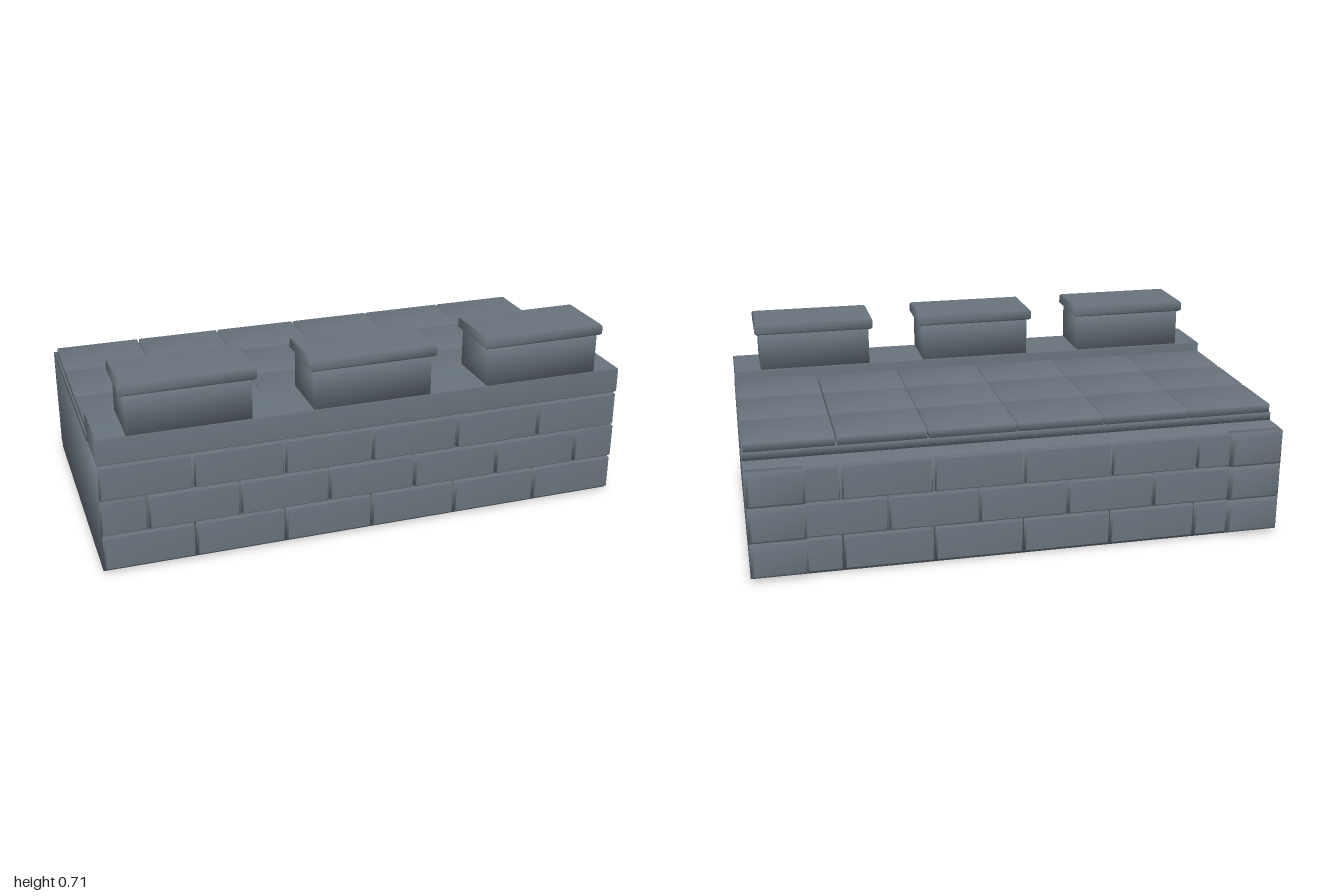
import * as THREE from 'three';
import { mergeVertices } from 'three/addons/utils/BufferGeometryUtils.js';

const stone = new THREE.MeshStandardMaterial({ color: 0x69737d });
stone.name = 'slate stone';

// Box between two corners with shared smooth normals; both ends along `axis` are bevelled by b
function block(parent, name, [x0, x1], [y0, y1], [z0, z1], axis = 'z', b = 0) {
  const size = { x: x1 - x0, y: y1 - y0, z: z1 - z0 };
  const seg = (a) => (b > 0 && a === axis ? 3 : 1);
  let geo = new THREE.BoxGeometry(size.x, size.y, size.z, seg('x'), seg('y'), seg('z'));
  geo.deleteAttribute('normal');
  geo.deleteAttribute('uv');
  geo = mergeVertices(geo);
  if (b > 0) {
    const p = geo.attributes.position;
    const v = new THREE.Vector3();
    for (let i = 0; i < p.count; i++) {
      v.fromBufferAttribute(p, i);
      const half = size[axis] / 2;
      if (Math.abs(v[axis]) > half - 1e-4) {
        // end ring: inset sideways
        for (const a of ['x', 'y', 'z']) if (a !== axis) v[a] -= Math.sign(v[a]) * b;
      } else {
        // inner ring: slide to just behind the end
        v[axis] = Math.sign(v[axis]) * (half - b);
      }
      p.setXYZ(i, v.x, v.y, v.z);
    }
  }
  geo.computeVertexNormals();
  const mesh = new THREE.Mesh(geo, stone);
  mesh.name = name;
  mesh.position.set((x0 + x1) / 2, (y0 + y1) / 2, (z0 + z1) / 2);
  parent.add(mesh);
}

export function createModel() {
  const model = new THREE.Group();
  model.name = 'battlementWall';
  const group = (name) => {
    const g = new THREE.Group();
    g.name = name;
    model.add(g);
    return g;
  };

  // Core, walkway slab and parapet ledge
  block(model, 'wallCore', [-1, 1], [0, 0.42], [-0.515, 0.54]);
  block(model, 'walkwaySlab', [-1, 1], [0.42, 0.45], [-0.43, 0.35]);
  block(model, 'parapetLedge', [-0.998, 0.998], [0.421, 0.52], [0.325, 0.56], 'y', 0.004);

  // Paving: three rows of six tiles
  const paving = group('paving');
  for (const zs of [[0.095, 0.335], [-0.165, 0.082], [-0.425, -0.178]]) {
    for (let i = 0; i < 6; i++) {
      const x = -1 + i / 3;
      block(paving, 'pavingTile', [x + 0.004, x + 1 / 3 - 0.004], [0.445, 0.482], zs);
    }
  }

  // Running-bond brick courses on front and back
  const faces = { frontBricks: [0.52, 0.565], backBricks: [-0.538, -0.495] };
  for (const [name, zs] of Object.entries(faces)) {
    const bricks = group(name);
    for (let row = 0; row < 3; row++) {
      const y = 0.015 + row * 0.136;
      const start = row === 1 ? -1 - 1 / 6 : -1;
      for (let x = start; x < 0.99; x += 1 / 3) {
        const left = Math.max(x + 0.005, -0.998);
        const right = Math.min(x + 1 / 3 - 0.005, 0.998);
        block(bricks, 'brick', [left, right], [y, y + 0.126], zs, 'z', 0.005);
      }
    }
  }

  // Corner stones at the back
  const corners = group('cornerStones');
  for (const xs of [[-0.999, -0.795], [0.795, 0.999]]) {
    for (let row = 0; row < 3; row++) {
      const y = 0.017 + row * 0.135;
      block(corners, 'cornerStone', xs, [y, y + 0.132], [-0.563, -0.5], 'z', 0.014);
    }
  }

  // Three merlons with overhanging caps
  const merlons = group('merlons');
  for (const x of [-0.67, 0, 0.67]) {
    block(merlons, 'merlon', [x - 0.222, x + 0.222], [0.515, 0.672], [0.33, 0.557]);
    block(merlons, 'merlonCap', [x - 0.239, x + 0.239], [0.666, 0.71], [0.322, 0.565], 'y', 0.007);
  }
  return model;
}
